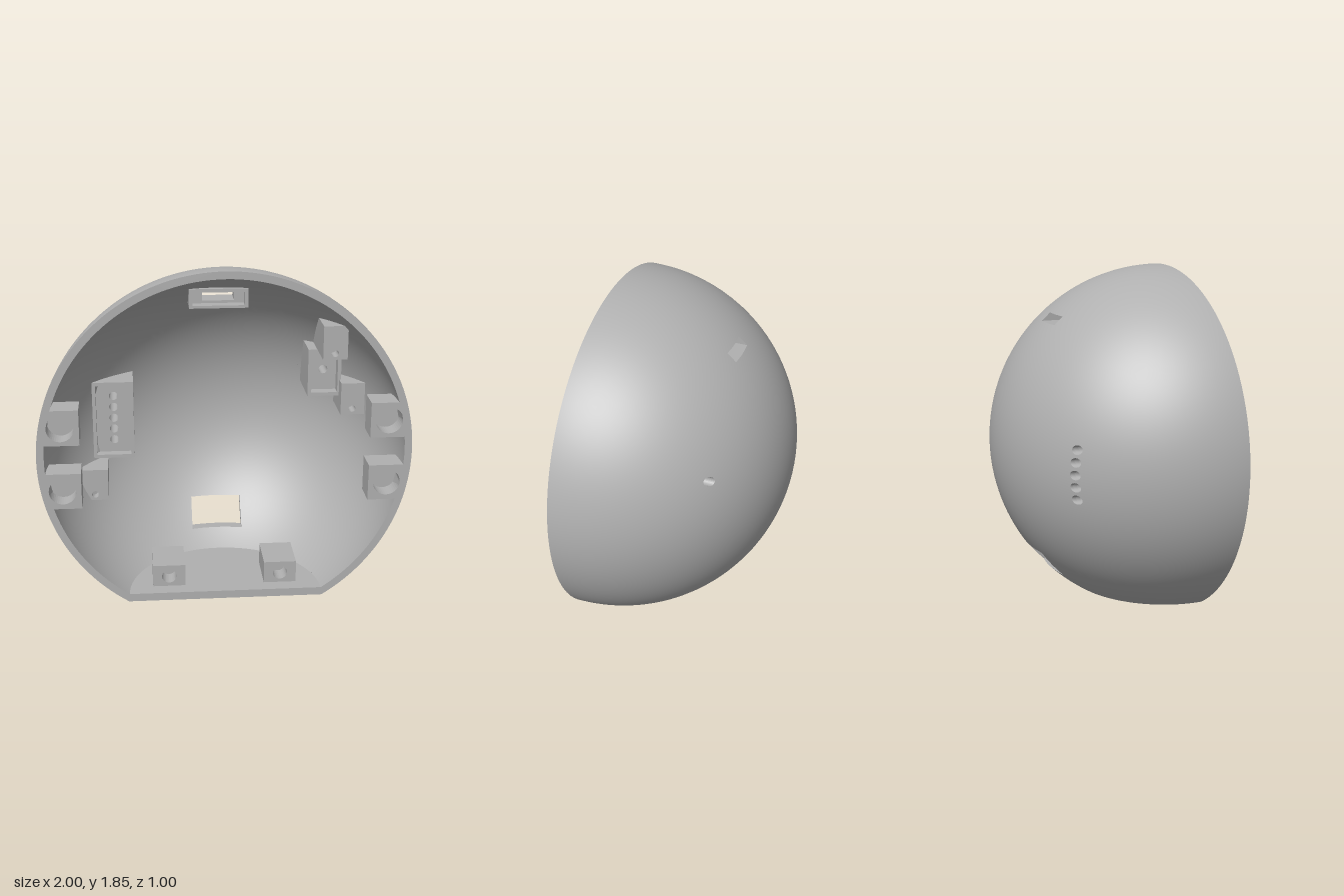
import * as THREE from 'three';
import { mergeGeometries } from 'three/addons/utils/BufferGeometryUtils.js';

const CY = 0.845, CZ = 0.5, OUTER = 1, INNER = 0.96, FLOOR = 0.045;

// z of the back of a sphere of radius R above the point x, y
const onSphere = (R) => ([x, y]) => CZ - Math.sqrt(Math.max(0, R * R - x * x - (y - CY) ** 2));
const depth = (z, p) => (typeof z === 'function' ? z(p) : z);
const reversed = (pts) => [...pts].reverse();
const mirrored = (pts) => reversed(pts.map(([x, y]) => [-x, y]));

// Outlines in the xy plane, counter-clockwise
function dense(pts, step = 0.04) {
  return pts.flatMap((p, i) => {
    const q = pts[(i + 1) % pts.length];
    const n = Math.max(1, Math.ceil(Math.hypot(q[0] - p[0], q[1] - p[1]) / step));
    return Array.from({ length: n }, (_, k) => [p[0] + (q[0] - p[0]) * k / n, p[1] + (q[1] - p[1]) * k / n]);
  });
}
const rect = (x0, x1, y0, y1) => dense([[x0, y0], [x1, y0], [x1, y1], [x0, y1]]);
const circle = (x, y, r, n = 28) => Array.from({ length: n }, (_, i) => {
  const a = i / n * Math.PI * 2;
  return [x + r * Math.cos(a), y + r * Math.sin(a)];
});
// Straight cut of the sphere by the floor, from -x to +x
function chord(R, y0, n = 64) {
  const w = Math.sqrt(R * R - (CY - y0) ** 2);
  return Array.from({ length: n + 1 }, (_, i) => [-w * Math.cos(i / n * Math.PI), y0]);
}
// Circle with its lower part cut off
function section(R, y0, n = 128) {
  const a0 = -Math.asin((CY - y0) / R);
  const arc = Array.from({ length: n + 1 }, (_, i) => {
    const a = a0 + (Math.PI - 2 * a0) * i / n;
    return [R * Math.cos(a), CY + R * Math.sin(a)];
  });
  return [...arc, ...chord(R, y0).slice(1, -1)];
}

function toShape(pts, holes = []) {
  const path = (P, p) => new P(p.map(([x, y]) => new THREE.Vector2(x, y)));
  const shape = path(THREE.Shape, pts);
  shape.holes = holes.map((h) => path(THREE.Path, h));
  return shape;
}
function fromPositions(pos, normals) {
  const g = new THREE.BufferGeometry();
  g.setAttribute('position', new THREE.Float32BufferAttribute(pos, 3));
  if (normals) g.setAttribute('normal', new THREE.Float32BufferAttribute(normals, 3));
  else g.computeVertexNormals();
  return g;
}
// Flat face at z, facing the front or the back
function cap(pts, z, holes = [], back = false) {
  const src = new THREE.ShapeGeometry(toShape(pts, holes)).toNonIndexed().attributes.position;
  const pos = [];
  for (let i = 0; i < src.count; i += 3) {
    for (const k of back ? [0, 2, 1] : [0, 1, 2]) pos.push(src.getX(i + k), src.getY(i + k), z);
  }
  return fromPositions(pos);
}
// Side wall along an outline, between a front and a back depth
function wall(pts, front, back, closed = true) {
  const pos = [];
  for (let i = 0; i < pts.length - (closed ? 0 : 1); i++) {
    const p = pts[i], q = pts[(i + 1) % pts.length];
    const pf = [...p, depth(front, p)], qf = [...q, depth(front, q)];
    const pb = [...p, depth(back, p)], qb = [...q, depth(back, q)];
    pos.push(...pb, ...qb, ...qf, ...pb, ...qf, ...pf);
  }
  return fromPositions(pos);
}
// Half sphere with holes: triangulated in a flat angle map, refined, then wrapped
function dome(R, outline, holes, outward) {
  const flatten = ([x, y]) => {
    const r = Math.hypot(x, y - CY), t = Math.asin(Math.min(1, r / R));
    return r < 1e-6 ? [0, 0] : [x / r * t, (y - CY) / r * t];
  };
  const src = new THREE.ShapeGeometry(toShape(outline.map(flatten), holes.map((h) => h.map(flatten))))
    .toNonIndexed().attributes.position;
  const stack = [], pos = [], nor = [];
  for (let i = 0; i < src.count; i += 3) stack.push([0, 1, 2].map((k) => [src.getX(i + k), src.getY(i + k)]));
  while (stack.length) {
    const t = stack.pop();
    const len = t.map((p, i) => Math.hypot(p[0] - t[(i + 1) % 3][0], p[1] - t[(i + 1) % 3][1]));
    const k = len.indexOf(Math.max(...len));
    const a = t[k], b = t[(k + 1) % 3], c = t[(k + 2) % 3];
    if (len[k] > 0.08) {
      const m = [(a[0] + b[0]) / 2, (a[1] + b[1]) / 2];
      stack.push([a, m, c], [m, b, c]);
      continue;
    }
    for (const [u, v] of outward ? [a, c, b] : [a, b, c]) {
      const th = Math.hypot(u, v), s = th < 1e-6 ? 1 : Math.sin(th) / th;
      const n = [u * s, v * s, -Math.cos(th)], sign = outward ? 1 : -1;
      pos.push(n[0] * R, CY + n[1] * R, CZ + n[2] * R);
      nor.push(...n.map((e) => e * sign));
    }
  }
  return fromPositions(pos, nor);
}

export function createModel() {
  const group = new THREE.Group();
  const grey = new THREE.MeshStandardMaterial({ color: 0xb0b0b0 });
  grey.name = 'grey plastic';
  const add = (name, parts) => {
    parts.forEach((g) => g.deleteAttribute('uv'));
    const mesh = new THREE.Mesh(mergeGeometries(parts), grey);
    mesh.name = name;
    group.add(mesh);
  };

  // Openings through the shell
  const window_ = rect(-0.15, 0.145, 0.13, 0.28);
  const slot = rect(-0.09, 0.09, 1.55, 1.595);
  const ledHoles = [0.715, 0.782, 0.848, 0.915, 0.982].map((y) => circle(-0.6, y, 0.025));
  const sensorHole = circle(0.6, 1.14, 0.025);
  const openings = [window_, slot, ...ledHoles, sensorHole];

  // Shell
  const outer = section(OUTER, 0), inner = section(INNER, FLOOR);
  add('outerShell', [dome(OUTER, outer, openings, true)]);
  add('innerShell', [dome(INNER, inner, openings, false)]);
  add('rim', [cap(outer, CZ, [inner])]);
  add('base', [wall(chord(OUTER, 0), CZ, onSphere(OUTER), false)]);
  add('innerFloor', [wall(reversed(chord(INNER, FLOOR)), CZ, onSphere(INNER), false)]);
  add('windowFrame', [wall(reversed(window_), onSphere(INNER), onSphere(OUTER))]);

  // Block with a recess; its back follows the shell or ends flat
  function block(name, outline, front, recess, floor, holes = [], back = onSphere(0.975)) {
    const parts = [
      wall(outline, front, back),
      cap(outline, front, [recess]),
      wall(reversed(recess), front, floor),
      cap(recess, floor, holes),
      ...holes.map((h) => wall(reversed(h), floor, onSphere(OUTER))),
    ];
    if (typeof back === 'number') parts.push(cap(outline, back, [], true));
    add(name, parts);
  }

  // Recessed mounts over the openings
  block('ledMount', rect(-0.72, -0.485, 0.62, 1.08), -0.088, rect(-0.7, -0.505, 0.64, 1.06), -0.14, ledHoles);
  block('sensorMount', rect(0.505, 0.695, 1.0, 1.275), 0, rect(0.525, 0.675, 1.02, 1.255), -0.06, [sensorHole]);
  block('slotMount', rect(-0.165, 0.165, 1.52, 1.63), -0.02, rect(-0.145, 0.145, 1.535, 1.61), -0.08, [slot]);

  // Small screw brackets beside the mounts
  block('ledBracket', dense([[-0.74, 0.42], [-0.64, 0.42], [-0.64, 0.605], [-0.785, 0.605], [-0.785, 0.5]]),
    0.057, circle(-0.715, 0.455, 0.02), -0.03);
  block('upperSensorBracket', dense([[0.555, 1.275], [0.69, 1.275], [0.69, 1.44], [0.67, 1.465], [0.555, 1.465]]),
    0.2, circle(0.62, 1.31, 0.02), 0.11);
  block('lowerSensorBracket', rect(0.685, 0.82, 0.91, 1.095), 0.075, circle(0.75, 0.945, 0.02), -0.01);

  // Screw lugs at the sides of the rim and on the floor
  const edge = (y) => [-Math.sqrt(0.97 ** 2 - (y - CY) ** 2), y];
  const lugs = [[0.57, 0.77, 0.67], [0.93, 1.125, 1.025]].map(([y0, y1, yc]) => ({
    name: 'SideLug', z: [0.5, 0.4, 0.355], hole: circle(-0.87, yc, 0.073, 40),
    outline: [[-0.77, y0], [-0.77, y1], edge(y1), edge(yc), edge(y0)],
  }));
  lugs.push({
    name: 'FloorLug', z: [0.42, 0.32, 0.18], hole: circle(-0.31, 0.105, 0.04),
    outline: rect(-0.4, -0.22, 0.03, 0.17),
  });
  for (const { name, z, hole, outline } of lugs) {
    block('right' + name, outline, z[0], hole, z[1], [], z[2]);
    block('left' + name, mirrored(outline), z[0], mirrored(hole), z[1], [], z[2]);
  }
  return group;
}
